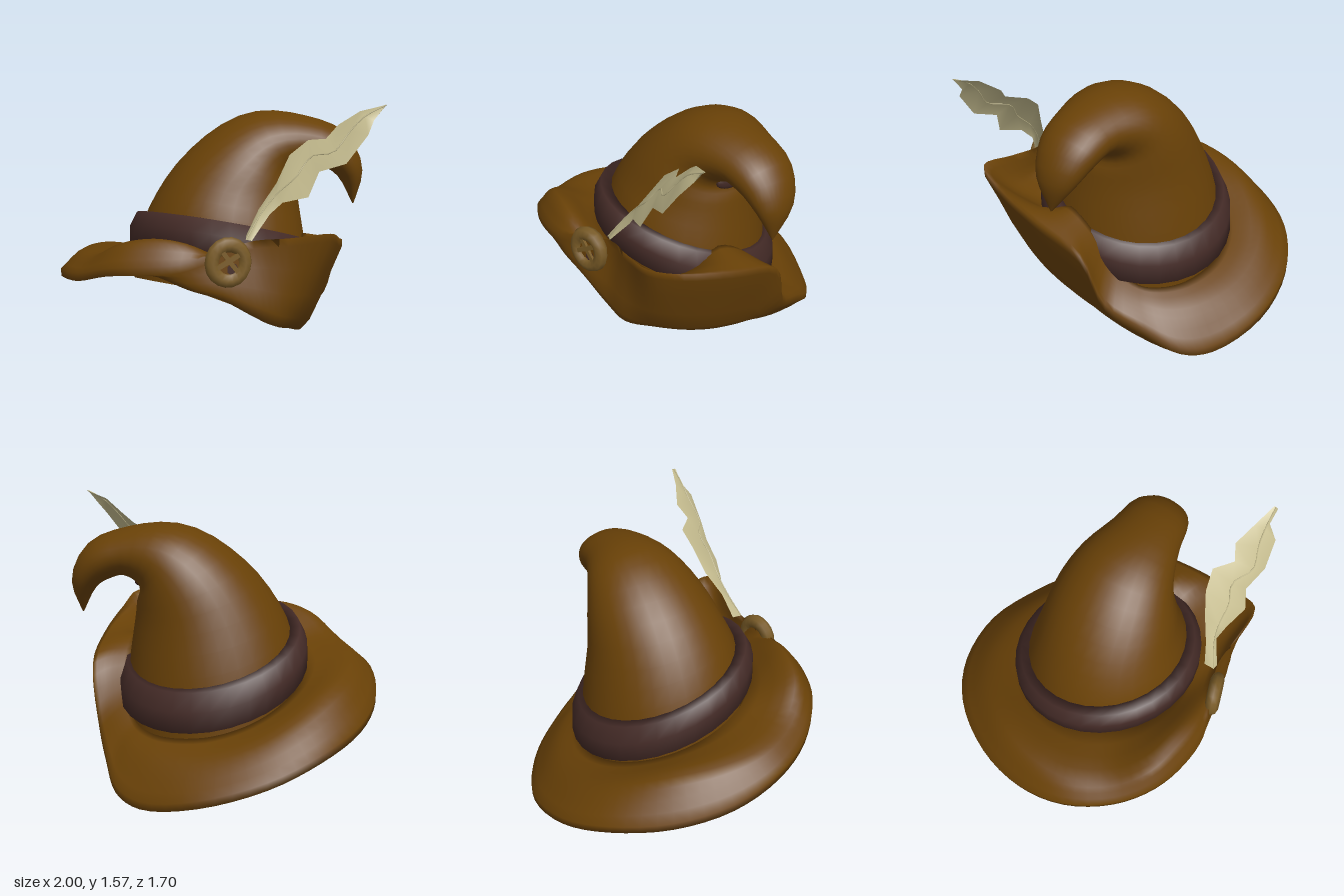
import * as THREE from 'three';

const V = (x, y, z) => new THREE.Vector3(x, y, z);
const mat = (name, color) => {
  const m = new THREE.MeshStandardMaterial({ color, side: THREE.DoubleSide });
  m.name = name;
  return m;
};

// Skin rows of points; every row is a closed loop.
function skin(rows, closeRows = false) {
  const n = rows[0].length, index = [];
  const last = closeRows ? rows.length : rows.length - 1;
  for (let i = 0; i < last; i++) {
    const k = (i + 1) % rows.length;
    for (let j = 0; j < n; j++) {
      const a = i * n + j, b = i * n + (j + 1) % n, c = k * n + j, d = k * n + (j + 1) % n;
      index.push(a, c, b, b, c, d);
    }
  }
  const g = new THREE.BufferGeometry().setFromPoints(rows.flat());
  g.setIndex(index);
  g.computeVertexNormals();
  return g;
}

// Ellipse around a centre; the u axis lies across the bend of the tip.
function ring(c, normal, ru, rv, n = 32) {
  const N = normal.clone().normalize(), L = V(0.53, 0, 0.85);
  const u = L.addScaledVector(N, -L.dot(N)).normalize();
  const v = N.clone().cross(u);
  return Array.from({ length: n }, (_, i) => {
    const a = -i / n * Math.PI * 2;
    return c.clone().addScaledVector(u, ru * Math.cos(a)).addScaledVector(v, rv * Math.sin(a));
  });
}

export function createModel() {
  const hat = new THREE.Group();
  hat.name = 'hat';
  const felt = mat('brown felt', 0x694107);
  const leather = mat('dark band', 0x432a26);
  const brass = mat('brass', 0x785a26);
  const plume = mat('pale feather', 0xc4bb8e);
  const add = (name, geo, m, parent = hat) => {
    const mesh = new THREE.Mesh(geo, m);
    mesh.name = name;
    parent.add(mesh);
    return mesh;
  };

  // Crown: centre, normal, radii; bends over into a hooked tip
  const tilt = V(0, 1, -0.35);
  const stations = [
    [V(-0.05, 0.36, -0.03), tilt, 0.54, 0.54],
    [V(-0.04, 0.7, -0.05), tilt, 0.5, 0.5],
    [V(0, 0.98, -0.08), V(0.1, 1, -0.25), 0.41, 0.41],
    [V(0.09, 1.17, -0.14), V(0.45, 1, -0.3), 0.35, 0.31],
    [V(0.21, 1.285, -0.22), V(0.85, 0.6, -0.5), 0.28, 0.21],
    [V(0.38, 1.3, -0.31), V(0.85, 0.05, -0.52), 0.21, 0.14],
    [V(0.52, 1.24, -0.39), V(0.75, -0.55, -0.4), 0.18, 0.12],
    [V(0.61, 1.1, -0.43), V(0.25, -1, -0.1), 0.12, 0.075],
    [V(0.64, 0.92, -0.42), V(0.15, -1, 0), 0.004, 0.004],
  ];
  const spine = new THREE.CatmullRomCurve3(stations.map(s => s[0]), false, 'catmullrom');
  const normals = new THREE.CatmullRomCurve3(stations.map(s => s[1].clone().normalize()), false, 'catmullrom');
  const radii = new THREE.CatmullRomCurve3(stations.map(s => V(s[2], s[3], 0)), false, 'catmullrom');
  const crown = [];
  for (let i = 0; i <= 24; i++) {
    const r = radii.getPoint(i / 24);
    crown.push(ring(spine.getPoint(i / 24), normals.getPoint(i / 24), r.x, r.y));
  }
  add('crown', skin(crown), felt);

  // Band: closed profile of centre height and radius, showing inside and out
  const band = [[0.51, 0.5], [0.565, 0.585], [0.68, 0.58], [0.77, 0.535], [0.775, 0.465]]
    .map(([y, r]) => ring(V(-0.045, y, -0.04), tilt, r, r * 0.98));
  add('band', skin(band, true), leather);

  // Dark patch on the crown below the hooked tip
  const patch = add('tipPatch', new THREE.SphereGeometry(1, 12, 8), leather);
  patch.scale.set(0.02, 0.045, 0.08);
  patch.position.set(0.345, 1.13, -0.23);
  patch.rotation.y = 0.3;

  // Brim: rim, upper and lower middle loops, swept up on one side
  const rim = [
    [0.77, 0.83, 0.08], [0.8, 0.9, 0.27], [0.6, 0.87, 0.37], [0.43, 0.85, 0.44], [0.28, 0.8, 0.6],
    [0.15, 0.75, 0.74], [-0.03, 0.73, 0.82], [-0.25, 0.7, 0.85], [-0.5, 0.62, 0.79], [-0.75, 0.57, 0.63],
    [-0.92, 0.49, 0.38], [-1, 0.42, 0.05], [-0.96, 0.35, -0.3], [-0.8, 0.25, -0.58], [-0.5, 0.14, -0.79],
    [-0.15, 0.06, -0.85], [0.05, 0.09, -0.82], [0.22, 0.2, -0.71], [0.4, 0.33, -0.57], [0.51, 0.63, -0.49],
    [0.66, 0.74, -0.22],
  ].map(p => V(...p));
  const upper = [
    [0.63, 0.74, 0.05], [0.63, 0.7, 0.25], [0.52, 0.68, 0.35], [0.41, 0.68, 0.43], [0.29, 0.75, 0.53],
    [0.13, 0.84, 0.64], [-0.04, 0.86, 0.7], [-0.23, 0.82, 0.74], [-0.45, 0.71, 0.68], [-0.67, 0.67, 0.52],
    [-0.78, 0.64, 0.3], [-0.82, 0.59, 0.03], [-0.78, 0.49, -0.25], [-0.65, 0.38, -0.48], [-0.42, 0.29, -0.64],
    [-0.13, 0.25, -0.7], [0.07, 0.26, -0.67], [0.2, 0.3, -0.6], [0.35, 0.4, -0.51], [0.46, 0.66, -0.4],
    [0.56, 0.75, -0.2],
  ].map(p => V(...p));
  const lower = [
    [0.5, 0.23, 0.03], [0.54, 0.31, 0.23], [0.54, 0.37, 0.39], [0.46, 0.44, 0.48], [0.33, 0.54, 0.59],
    [0.17, 0.6, 0.69], [-0.03, 0.68, 0.76], [-0.23, 0.69, 0.77], [-0.45, 0.61, 0.69], [-0.64, 0.55, 0.53],
    [-0.76, 0.48, 0.3], [-0.8, 0.38, 0.03], [-0.77, 0.28, -0.27], [-0.65, 0.18, -0.5], [-0.42, 0.08, -0.68],
    [-0.13, 0.005, -0.76], [0.07, 0.01, -0.68], [0.2, 0.05, -0.55], [0.3, 0.1, -0.4], [0.38, 0.14, -0.28],
    [0.45, 0.18, -0.13],
  ].map(p => V(...p));
  const around = (loop, f) => loop.map(p => f(Math.atan2(p.z + 0.04, p.x + 0.05)));
  const seat = around(upper, a => {
    // the folded side climbs over the band
    const climb = Math.max(0, Math.cos(a + 0.4)) ** 10, r = 0.53 - 0.04 * climb;
    return V(-0.05 + r * Math.cos(a), 0.52 + 0.19 * Math.sin(a) + 0.32 * climb, -0.035 + r * Math.sin(a));
  });
  const lip = around(lower, a =>
    V(-0.09 + 0.48 * Math.cos(a), 0.35 + 0.27 * Math.sin(a) - 0.06 * Math.cos(a), -0.03 + 0.48 * Math.sin(a)));
  const rimUnder = rim.map(p => V(p.x, p.y - 0.045, p.z));
  const closed = p => new THREE.CatmullRomCurve3(p, true, 'centripetal');
  const faces = [[seat, upper, rim].map(closed), [rimUnder, lower, lip].map(closed)];
  const brim = [];
  for (let i = 0; i < 84; i++) {
    brim.push(faces.flatMap(loops =>
      new THREE.CatmullRomCurve3(loops.map(l => l.getPoint(i / 84)), false, 'centripetal').getPoints(8)));
  }
  add('brim', skin(brim, true), felt);

  // Round brass buckle with an open, irregular centre
  const buckle = new THREE.Group();
  buckle.name = 'buckle';
  buckle.position.set(0.34, 0.745, 0.56);
  buckle.lookAt(V(0.34 + 0.7, 0.745 + 0.06, 0.56 + 0.72));
  buckle.scale.y = 1.08;
  hat.add(buckle);
  add('buckleRing', new THREE.TorusGeometry(0.09, 0.04, 8, 18), brass, buckle);
  add('buckleBack', new THREE.CylinderGeometry(0.09, 0.09, 0.03, 18).rotateX(Math.PI / 2), felt, buckle);
  const inset = add('buckleInset', new THREE.CircleGeometry(0.032, 7), leather, buckle);
  inset.position.set(0.02, -0.032, 0.018);
  [0.5, 2.2, 3.6, 5.4].forEach(a => {
    const bar = add('buckleBar', new THREE.BoxGeometry(0.08, 0.024, 0.03), brass, buckle);
    bar.position.set(0.035 * Math.cos(a), 0.012 + 0.035 * Math.sin(a), 0.016);
    bar.rotation.z = a;
  });

  // Feather: ragged left and right edges, leaning back as it rises
  const left = [[0.36, 0.86], [0.4, 1.0], [0.45, 1.13], [0.49, 1.28], [0.57, 1.36], [0.69, 1.38], [0.73, 1.45], [0.85, 1.53], [0.99, 1.57]];
  const right = [[0.42, 0.85], [0.47, 0.98], [0.54, 1.05], [0.68, 1.09], [0.71, 1.22], [0.85, 1.27], [0.94, 1.42], [0.94, 1.49], [0.995, 1.57]];
  const lean = (x, y, lift = 0) => V(x, y, 0.42 - 0.73 * (y - 0.86) + 0.2 * (x - 0.39) + lift);
  const points = [], triangles = [], shaft = [];
  left.forEach(([lx, ly], i) => {
    const [rx, ry] = right[i];
    const mid = lean((lx + rx) / 2, (ly + ry) / 2, i < 8 ? 0.03 : 0);
    const wave = i % 2 ? 0.012 : -0.012;
    points.push(lean(lx, ly, wave), mid, lean(rx, ry, -wave));
    shaft.push(mid);
    if (i === 8) return;
    for (const k of [0, 1]) {
      const a = i * 3 + k;
      triangles.push(a, a + 1, a + 3, a + 1, a + 4, a + 3);
    }
  });
  const vane = new THREE.BufferGeometry().setFromPoints(points);
  vane.setIndex(triangles);
  vane.computeVertexNormals();
  add('featherVane', vane, plume);
  add('featherShaft', new THREE.TubeGeometry(new THREE.CatmullRomCurve3(shaft), 24, 0.004, 5), plume);

  return hat;
}
